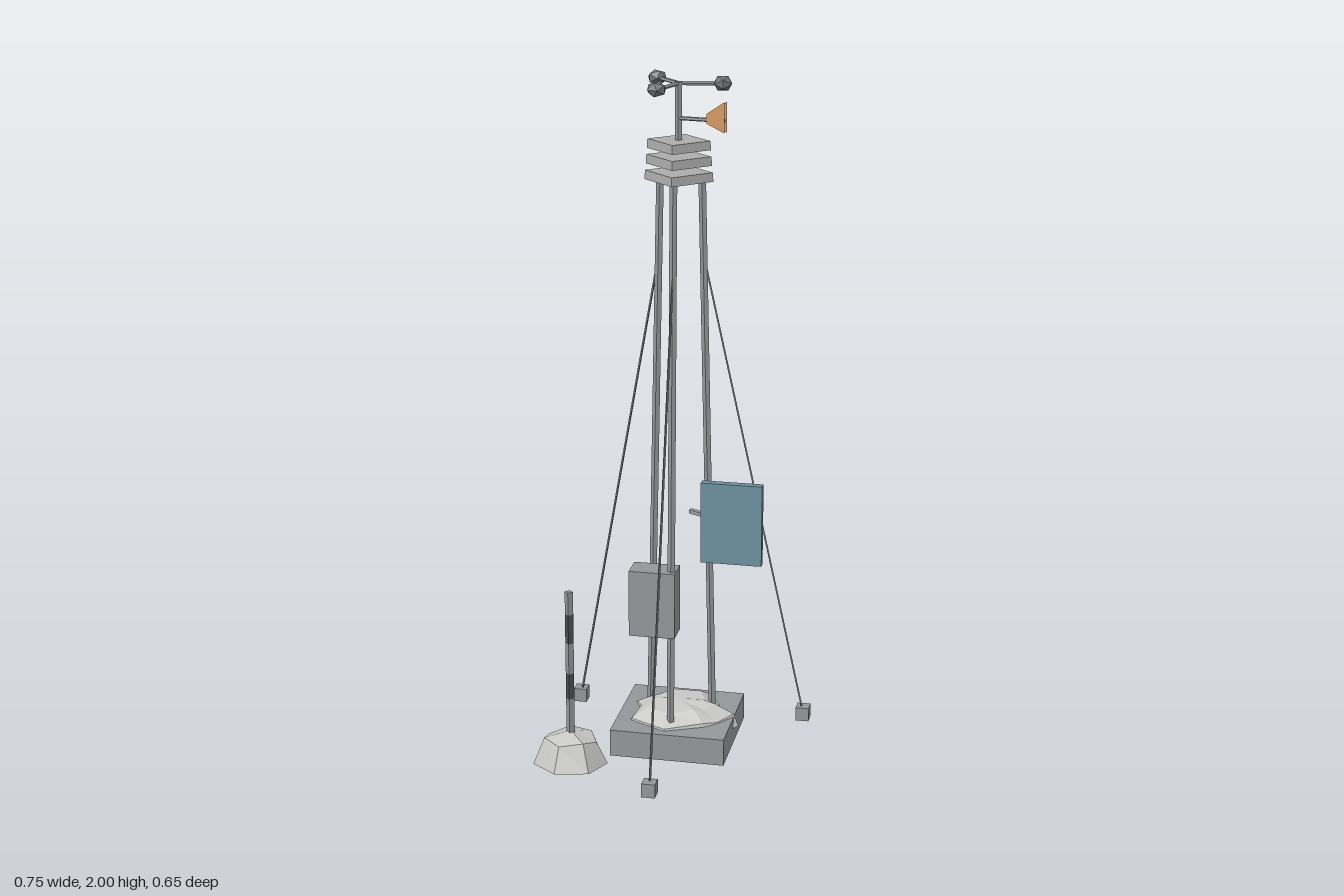
import * as THREE from 'three';

const mat = (name, color, side = THREE.FrontSide) => {
  const m = new THREE.MeshStandardMaterial({ color, side });
  m.name = name;
  return m;
};

// Faceted normals without shared vertices
function facet(geo) {
  const g = geo.toNonIndexed();
  g.computeVertexNormals();
  return g;
}

// Faceted mound, open below: a plan outline scaled at several heights and closed by an apex
function moundGeometry(outline, rings, apexY) {
  const pos = [];
  const n = outline.length;
  const at = (r, i) => {
    const [y, s, wobble = 0] = rings[r];
    const [x, z] = outline[i % n];
    return [x * s, y + wobble * Math.sin((i % n) * 2.3), z * s];
  };
  const tri = (a, b, c) => pos.push(...a, ...b, ...c);
  const last = rings.length - 1;
  for (let i = 0; i < n; i++) {
    for (let r = 0; r < last; r++) {
      const a = at(r, i), b = at(r, i + 1), c = at(r + 1, i + 1), d = at(r + 1, i);
      tri(a, c, b);
      tri(a, d, c);
    }
    tri(at(last, i + 1), at(last, i), [0, apexY, 0]);
  }
  const g = new THREE.BufferGeometry();
  g.setAttribute('position', new THREE.Float32BufferAttribute(pos, 3));
  g.computeVertexNormals();
  return g;
}

// Box without its bottom face
function openBoxGeometry(w, h, d) {
  const g = new THREE.BoxGeometry(w, h, d);
  const index = Array.from(g.index.array);
  index.splice(18, 6);
  g.clearGroups();
  g.setIndex(index);
  return g;
}

export function createModel() {
  const root = new THREE.Group();
  root.name = 'weatherStation';

  const steel = mat('steelGrey', 0x92979a);
  const concrete = mat('concreteGrey', 0x92979a, THREE.DoubleSide);
  const shield = mat('paleGrey', 0xacacac);
  const cable = mat('cableGrey', 0x75797c);
  const cupGrey = mat('cupGrey', 0x70757a);
  const charcoal = mat('charcoal', 0x4a4d50);
  const rubble = mat('rubbleGrey', 0xc8c8c6, THREE.DoubleSide);
  const blue = mat('panelBlue', 0x6c909e);
  const orange = mat('vaneOrange', 0xd49a64, THREE.DoubleSide);

  const CX = 0.006, CZ = -0.102; // tower axis

  const add = (name, geo, material, x = 0, y = 0, z = 0) => {
    const m = new THREE.Mesh(geo, material);
    m.name = name;
    m.position.set(x, y, z);
    root.add(m);
    return m;
  };
  const box = (name, material, x0, x1, y0, y1, z0, z1) =>
    add(name, new THREE.BoxGeometry(x1 - x0, y1 - y0, z1 - z0), material,
      (x0 + x1) / 2, (y0 + y1) / 2, (z0 + z1) / 2);
  // Straight faceted rod between two points
  const rod = (name, material, a, b, r, sides = 5) => {
    const dir = b.clone().sub(a);
    const m = add(name, facet(new THREE.CylinderGeometry(r, r, dir.length(), sides)), material);
    m.position.copy(a).add(b).multiplyScalar(0.5);
    m.quaternion.setFromUnitVectors(new THREE.Vector3(0, 1, 0), dir.normalize());
  };
  // Point around the tower axis
  const polar = (deg, r, y) => {
    const t = THREE.MathUtils.degToRad(deg);
    return new THREE.Vector3(CX + Math.cos(t) * r, y, CZ + Math.sin(t) * r);
  };

  // Hollow foundation block and the ragged mound on it
  add('foundation', openBoxGeometry(0.343, 0.082, 0.343), concrete, CX, 0.042, CZ);
  const baseOutline = [
    [-0.059, -0.137], [0.087, -0.127], [0.119, -0.071], [0.118, -0.03],
    [0.18, 0], [0.137, 0.065], [0.097, 0.099], [-0.014, 0.152],
    [-0.131, 0.091], [-0.119, 0], [-0.143, -0.046], [-0.095, -0.067],
  ];
  add('foundationMound', moundGeometry(baseOutline,
    [[0.052, 1.03], [0.09, 0.95, 0.004], [0.118, 0.62, 0.005]], 0.127), rubble, CX, 0, CZ);

  // Three legs, each with a guy wire and ground anchor
  for (const deg of [90, 210, 330]) {
    rod('leg', steel, polar(deg, 0.11, 0.07), polar(deg, 0.07, 1.715), 0.0115);
    rod('guyWire', cable, polar(deg, 0.077, 1.48), polar(deg, 0.402, 0.035), 0.0035, 4);
    const p = polar(deg, 0.405, 0.024);
    add('groundAnchor', new THREE.BoxGeometry(0.04, 0.042, 0.04), steel, p.x, p.y, p.z);
  }

  // Stacked square shield plates
  [[1.722, 0.097], [1.767, 0.093], [1.811, 0.09]].forEach(([y, r]) =>
    add('shieldPlate', facet(new THREE.CylinderGeometry(r, r * 1.02, 0.026, 4)), shield, CX, y, CZ));

  // Mast with a three-cup wind gauge
  rod('mast', steel, polar(0, 0, 1.81), polar(0, 0, 1.987), 0.0105);
  for (const deg of [108.5, 228.5, 348.5]) {
    const end = polar(deg, 0.122, 1.982);
    rod('cupArm', steel, polar(deg, 0, 1.982), end, 0.006);
    const geo = new THREE.IcosahedronGeometry(0.029, 0).scale(1, 0.8, 1);
    geo.computeVertexNormals();
    const cup = add('windCup', geo, cupGrey, end.x, end.y, end.z);
    cup.rotation.y = -THREE.MathUtils.degToRad(deg);
  }

  // Wind vane: arm and thin flared tail
  rod('vaneArm', steel, polar(25, 0, 1.885), polar(25, 0.155, 1.893), 0.006);
  const tail = new THREE.Shape([
    new THREE.Vector2(0.1, 1.88), new THREE.Vector2(0.16, 1.86),
    new THREE.Vector2(0.16, 1.946), new THREE.Vector2(0.1, 1.908),
  ]);
  for (const side of [-1, 1]) { // a sheet on each side of the arm
    const sheet = add('vaneTail', new THREE.ShapeGeometry(tail).translate(0, 0, side * 0.006), orange, CX, 0, CZ);
    sheet.rotation.y = -THREE.MathUtils.degToRad(25);
  }

  // Solar panel on its bracket
  box('solarPanel', blue, 0.098, 0.276, 0.62, 0.862, 0.005, 0.029);
  rod('panelBracket', steel, new THREE.Vector3(0.05, 0.74, -0.066),
    new THREE.Vector3(0.178, 0.74, 0.007), 0.009);

  // Instrument cabinet
  box('instrumentCabinet', steel, -0.117, 0.02, 0.37, 0.572, -0.059, 0.021);

  // Separate banded marker post in a mound
  const PX = -0.271, PZ = 0.123;
  const postOutline = [
    [-0.026, 0.102], [-0.103, 0.046], [-0.107, -0.047], [-0.026, -0.099],
    [0.071, -0.079], [0.111, -0.002], [0.073, 0.081],
  ];
  add('markerMound', moundGeometry(postOutline, [[0, 1], [0.074, 0.7, 0.01]], 0.097), rubble, PX, 0, PZ);
  [[0.03, 0.2], [0.2, 0.28], [0.28, 0.375], [0.375, 0.465], [0.465, 0.535]].forEach(([y0, y1], i) =>
    add(i % 2 ? 'markerBand' : 'markerPost',
      facet(new THREE.CylinderGeometry(0.0125, 0.0125, y1 - y0, 4)), i % 2 ? charcoal : steel,
      PX, (y0 + y1) / 2, PZ));

  return root;
}
